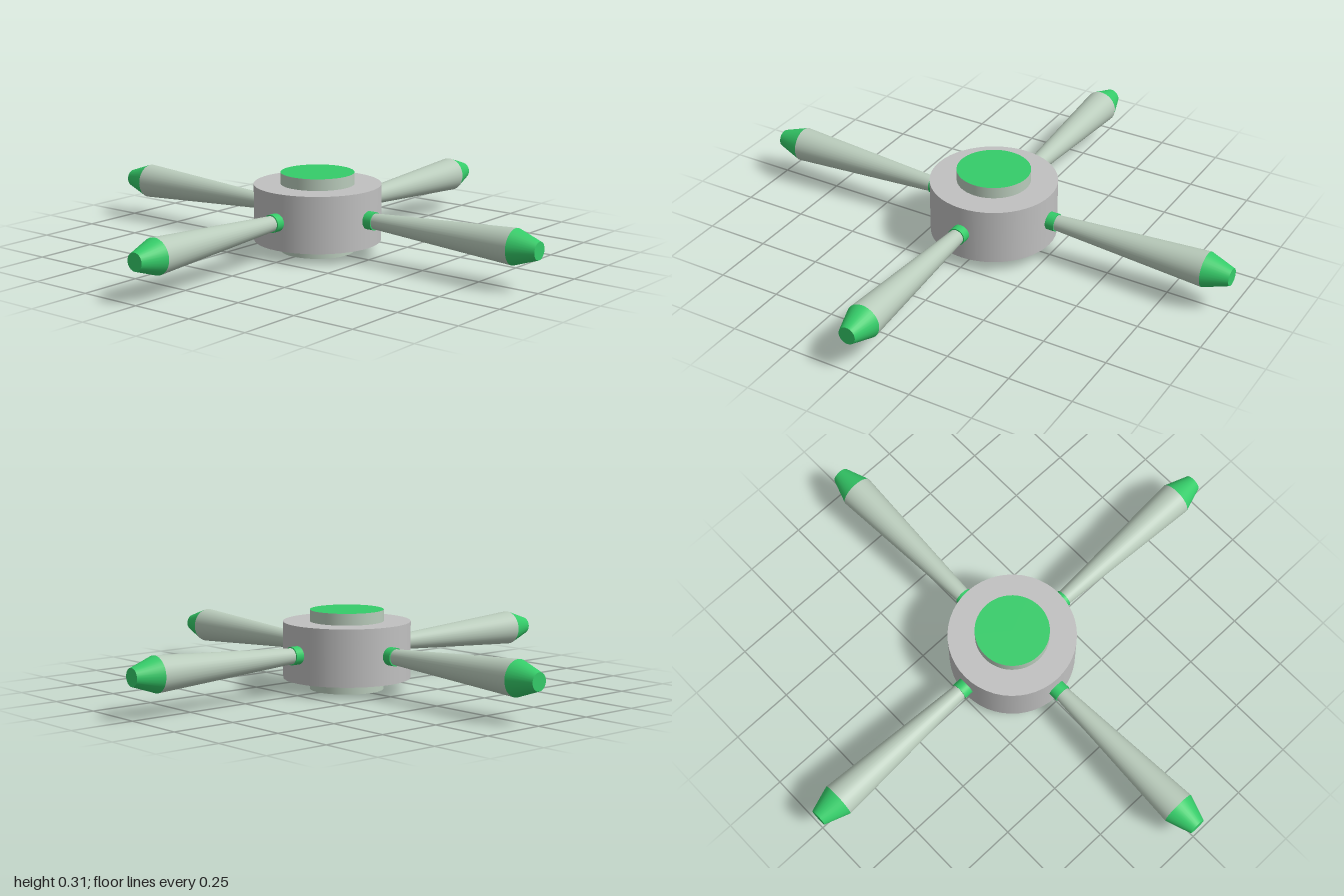
import * as THREE from 'three';

const MID = 0.155; // height of the arm axis

export function createModel() {
  const grey = new THREE.MeshStandardMaterial({ name: 'hub grey', color: 0xc0c0c0 });
  const pale = new THREE.MeshStandardMaterial({ name: 'pale sage', color: 0xb9cbbb });
  const green = new THREE.MeshStandardMaterial({ name: 'bright green', color: 0x35cc69 });

  const model = new THREE.Group();
  model.name = 'fourArmRotor';

  // Upright or tapered cylinder spanning y0..y1
  function drum(name, r0, r1, y0, y1, material, parent, sides = 32) {
    const geometry = new THREE.CylinderGeometry(r1, r0, y1 - y0, sides);
    geometry.translate(0, (y0 + y1) / 2, 0);
    const mesh = new THREE.Mesh(geometry, material);
    mesh.name = name;
    parent.add(mesh);
  }

  // Hub, with a pale boss through it that has green end faces
  drum('hub', 0.247, 0.247, 0.045, 0.265, grey, model, 48);
  drum('boss', 0.143, 0.143, 0, 0.31, [pale, green, green], model, 48);

  // Four arms: collar, flaring shaft and tapered tip, built along y then laid outward
  for (let i = 0; i < 4; i++) {
    const arm = new THREE.Group();
    arm.name = 'arm' + (i + 1);
    drum('collar', 0.035, 0.035, 0.2, 0.28, green, arm);
    drum('shaft', 0.028, 0.068, 0.24, 0.9, pale, arm);
    drum('tip', 0.068, 0.034, 0.9, 1, green, arm);
    arm.position.y = MID;
    arm.rotation.set(0, (i * Math.PI) / 2, -Math.PI / 2);
    arm.rotation.order = 'YXZ';
    model.add(arm);
  }
  return model;
}
